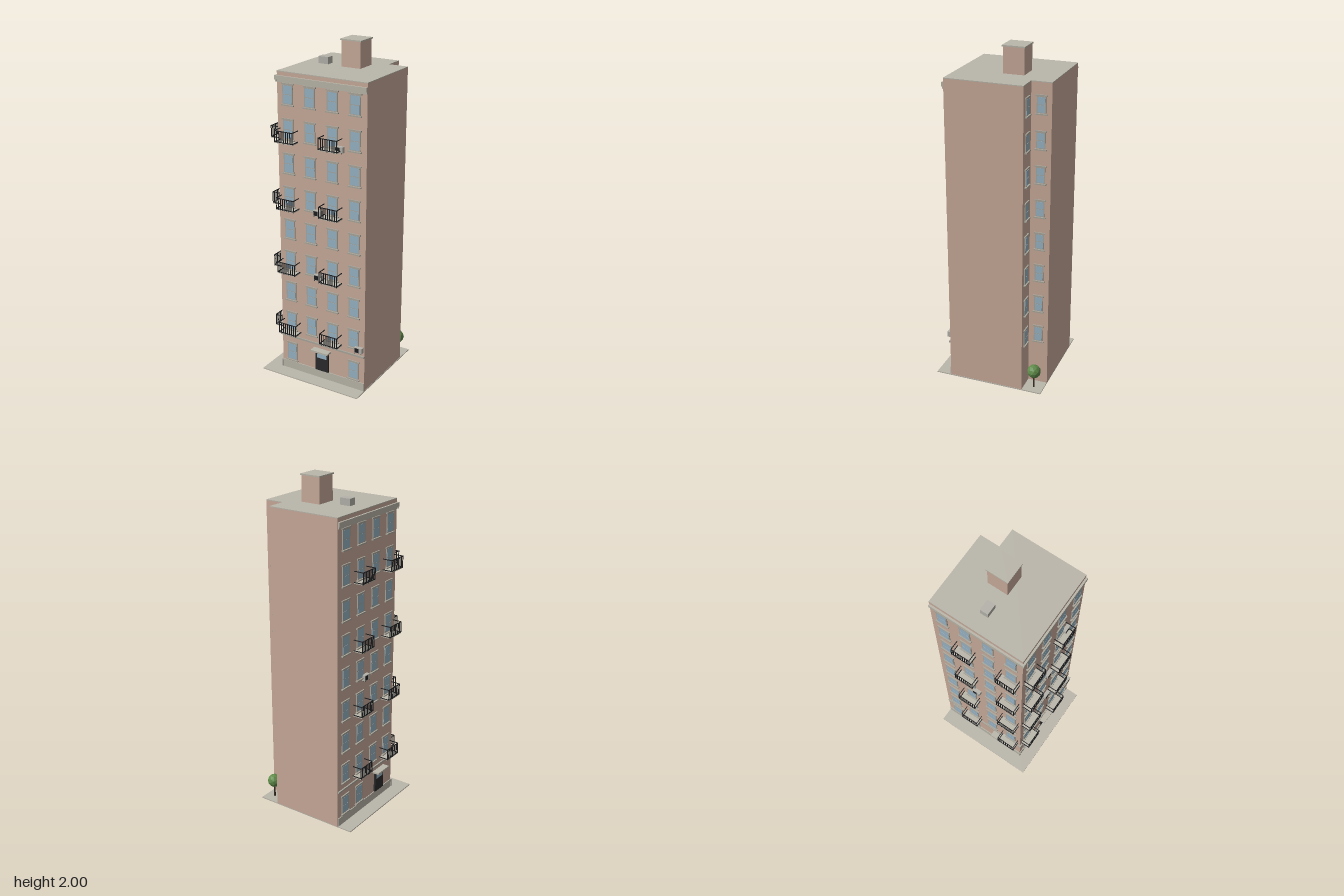
import * as THREE from 'three';

const mat = (name, color, flatShading = false) => {
  const m = new THREE.MeshStandardMaterial({ color, flatShading });
  m.name = name;
  return m;
};

export function createModel() {
  const brick = mat('brick', 0xc9ab9a), stone = mat('stone', 0xbab6aa);
  const trim = mat('trim', 0xa9a69b), glass = mat('glass', 0x98b4c5);
  const iron = mat('iron', 0x1d1d1f), door = mat('door', 0x2b2b2d);
  const metal = mat('metal', 0xb4b2aa), leaf = mat('leaf', 0x5f8b49, true);
  const bark = mat('bark', 0x3a2e26);

  const model = new THREE.Group();
  model.name = 'apartmentBuilding';

  const group = (name, parent, x = 0, y = 0, z = 0) => {
    const g = new THREE.Group();
    g.name = name;
    g.position.set(x, y, z);
    parent.add(g);
    return g;
  };
  const box = (name, parent, m, w, h, d, x, y, z) => {
    const b = new THREE.Mesh(new THREE.BoxGeometry(w, h, d), m);
    b.name = name;
    b.position.set(x, y, z);
    parent.add(b);
    return b;
  };

  // Ground slab
  box('pavement', model, stone, 0.66, 0.006, 0.66, 0, 0.003, 0);

  // Building body: L-shaped plan with a light well in the back corner
  const plan = new THREE.Shape([
    [-0.24, -0.24], [0.328, -0.24], [0.328, 0.213],
    [0.21, 0.213], [0.21, 0.33], [-0.24, 0.33],
  ].map(([x, y]) => new THREE.Vector2(x, y)));
  const storey = (name, m, y, h) => {
    const g = new THREE.ExtrudeGeometry(plan, { depth: h, bevelEnabled: false });
    g.rotateX(-Math.PI / 2);
    const b = new THREE.Mesh(g, m);
    b.name = name;
    b.position.y = y;
    model.add(b);
  };
  storey('walls', brick, 0.004, 1.836);
  storey('roof', stone, 1.84, 0.005);

  // Roof structures
  box('stairTower', model, brick, 0.122, 0.15, 0.122, 0.072, 1.918, -0.085);
  box('stairTowerCap', model, stone, 0.132, 0.008, 0.132, 0.072, 1.996, -0.085);
  box('roofVent', model, metal, 0.065, 0.04, 0.048, -0.113, 1.865, -0.059);

  // Sash window standing on the local wall plane z = 0
  function addWindow(wall, u, y, w = 0.066, h = 0.108) {
    const g = group('window', wall, u, y, 0);
    box('windowFrame', g, trim, w, h, 0.006, 0, 0, 0.002);
    const pane = h / 2 - 0.006;
    for (const s of [-1, 1])
      box('windowPane', g, glass, w - 0.01, pane, 0.002, 0, s * (pane / 2 + 0.002), 0.005);
    box('windowSill', g, trim, w + 0.014, 0.007, 0.014, 0, -h / 2 - 0.005, 0.005);
    box('windowLintel', g, trim, w + 0.012, 0.008, 0.009, 0, h / 2 + 0.005, 0.003);
  }

  // Balcony with a barred front and open sides
  function addBalcony(wall, u, y) {
    const g = group('balcony', wall, u, y, 0);
    const w = 0.12, d = 0.06, h = 0.07, t = 0.004;
    box('balconyFloor', g, stone, w, 0.005, d, 0, 0.0025, d / 2);
    for (const yy of [0.007, h]) {
      box('frontRail', g, iron, w, t, t, 0, yy, d - t / 2);
      for (const s of [-1, 1])
        box('sideRail', g, iron, t, t, d, s * (w - t) / 2, yy, d / 2);
    }
    for (let i = 0; i <= 8; i++)
      box('baluster', g, iron, t, h, t, (i / 8 - 0.5) * (w - t), h / 2, d - t / 2);
  }

  // Air conditioner with a dark fan grille and two brackets
  function addCooler(wall, u, y) {
    const g = group('airConditioner', wall, u, y, 0);
    box('coolerCase', g, metal, 0.05, 0.034, 0.022, 0, 0, 0.011);
    box('coolerGrille', g, iron, 0.026, 0.026, 0.003, -0.008, 0, 0.022);
    for (const s of [-1, 1])
      box('coolerBracket', g, iron, 0.003, 0.003, 0.024, s * 0.018, -0.0185, 0.012);
  }

  // Entrance with transom and canopy
  function addEntrance(wall, u) {
    const g = group('entrance', wall, u, 0, 0);
    box('doorLeaf', g, door, 0.088, 0.118, 0.012, 0, 0.117, 0.005);
    box('transom', g, glass, 0.066, 0.027, 0.003, 0, 0.156, 0.011);
    box('canopy', g, stone, 0.116, 0.01, 0.042, 0, 0.196, 0.021);
  }

  const floorY = (f) => 0.333 + 0.198 * f;

  // Street facade, built facing +z and turned into place
  function addFacade(name, angle, columns, from, to, groundColumns, doorU, balconies) {
    const turn = group(name, model);
    turn.rotation.y = angle;
    const wall = group(name + 'Details', turn, 0, 0, 0.24);
    const mid = (from + to) / 2, len = to - from;
    const strip = (n, m, y, h, d) => box(n, wall, m, len, h, d, mid, y, d / 2);
    strip('plinth', stone, 0.03, 0.053, 0.005);
    strip('stringCourse', trim, 0.23, 0.01, 0.009);
    strip('corniceBase', stone, 1.79, 0.012, 0.006);
    strip('cornice', stone, 1.808, 0.024, 0.011);
    for (let f = 0; f < 8; f++) {
      columns.forEach((u) => addWindow(wall, u, floorY(f)));
      if (f % 2 === 0)
        balconies.forEach((u) => addBalcony(wall, u, floorY(f) - 0.069));
    }
    groundColumns.forEach((u) => addWindow(wall, u, 0.126));
    addEntrance(wall, doorU);
    return wall;
  }
  const front = addFacade('frontFacade', 0, [-0.17, -0.028, 0.115, 0.257],
    -0.25, 0.328, [-0.17, 0.257], 0.043, [-0.167, 0.117]);
  const side = addFacade('sideFacade', -Math.PI / 2, [-0.257, -0.115, 0.028, 0.17],
    -0.328, 0.25, [-0.257, -0.115], 0.095, [-0.118, 0.166]);
  [[0.295, 0.275], [0.023, 0.67], [0.023, 1.067], [0.166, 1.463]]
    .forEach(([u, y]) => addCooler(front, u, y));
  addCooler(side, -0.068, 0.868);

  // Light well windows
  for (const [name, angle, u, z] of [
    ['lightWellSide', Math.PI / 2, 0.272, 0.21],
    ['lightWellBack', Math.PI, -0.27, 0.213],
  ]) {
    const turn = group(name, model);
    turn.rotation.y = angle;
    const wall = group(name + 'Windows', turn, 0, 0, z);
    for (let f = 0; f < 8; f++) addWindow(wall, u, floorY(f), 0.052, 0.092);
  }

  // Tree in the back corner
  const tree = group('tree', model, 0.277, 0, -0.272);
  const trunk = new THREE.Mesh(new THREE.CylinderGeometry(0.004, 0.006, 0.09, 6), bark);
  trunk.name = 'trunk';
  trunk.position.y = 0.047;
  const crown = new THREE.Mesh(new THREE.IcosahedronGeometry(0.041, 1), leaf);
  crown.name = 'crown';
  crown.position.y = 0.113;
  tree.add(trunk, crown);

  return model;
}
